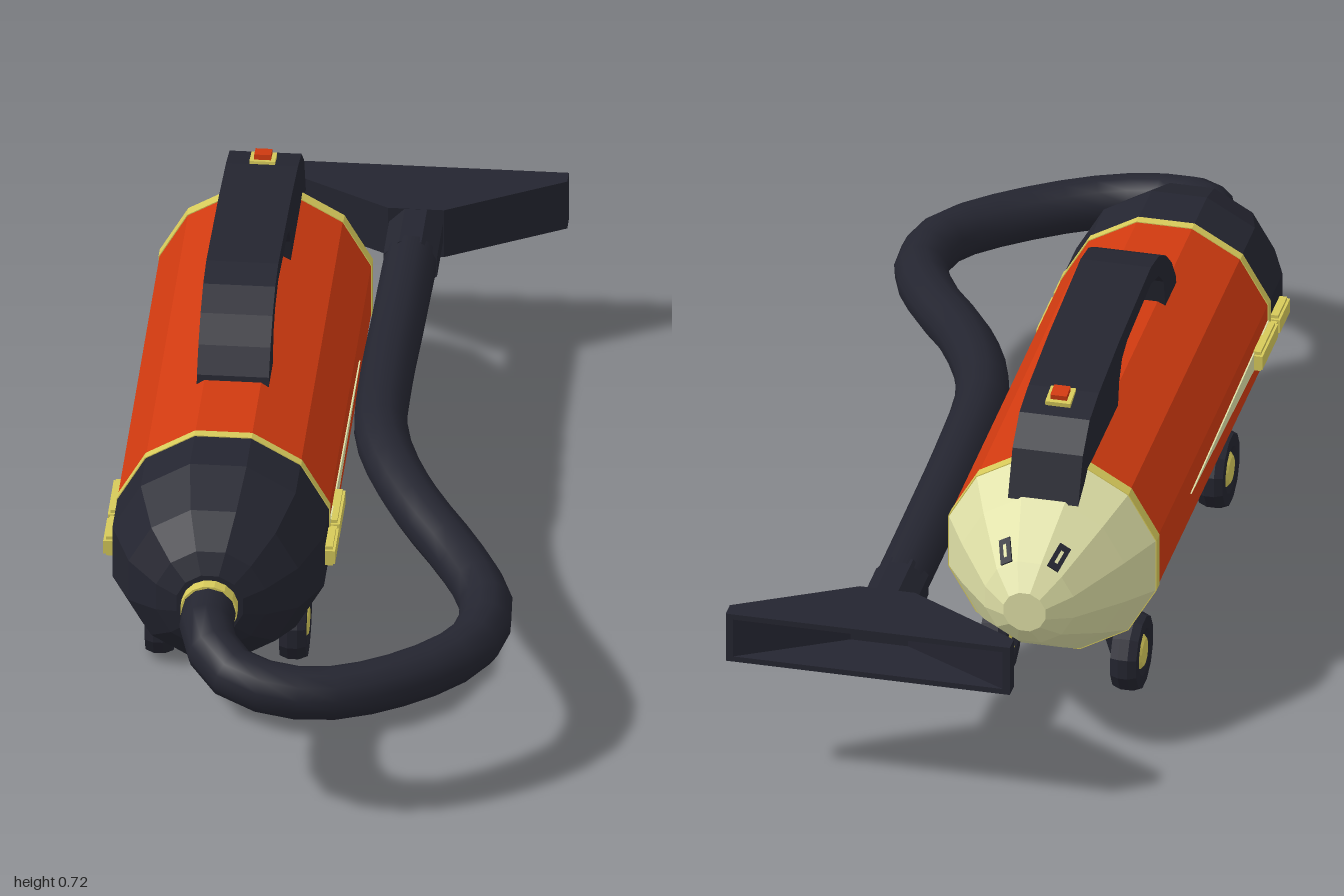
import * as THREE from 'three';

const colour = (name, hex) => {
  const m = new THREE.MeshStandardMaterial({ color: hex });
  m.name = name;
  return m;
};

export function createModel() {
  const dark = colour('charcoal', 0x242530);
  const red = colour('orange red', 0xd03a10);
  const yellow = colour('brass yellow', 0xd6c95a);
  const cream = colour('cream', 0xdedfa6);

  const model = new THREE.Group();
  model.name = 'vacuumCleaner';
  const body = new THREE.Group();
  body.name = 'body';
  body.position.set(-0.185, 0.36, 0);
  model.add(body);

  // Faceted normals for the low-poly parts
  const facet = (g) => {
    const f = g.index ? g.toNonIndexed() : g;
    f.computeVertexNormals();
    return f;
  };
  const add = (parent, name, geometry, material, x = 0, y = 0, z = 0) => {
    const mesh = new THREE.Mesh(geometry, material);
    mesh.name = name;
    mesh.position.set(x, y, z);
    parent.add(mesh);
    return mesh;
  };
  // Lathe along z from [radius, z] pairs, with z increasing
  const turned = (points, sides = 12) => facet(new THREE.LatheGeometry(
    points.map(([r, z]) => new THREE.Vector2(r, z)), sides, Math.PI / sides).rotateX(Math.PI / 2));
  // Side outline of [z, y] pairs, extruded across x
  const sideProfile = (points, width) => facet(new THREE.ExtrudeGeometry(
    new THREE.Shape(points.map(([z, y]) => new THREE.Vector2(z, y))),
    { depth: width, bevelEnabled: false }).translate(0, 0, -width / 2).rotateY(-Math.PI / 2));

  // Twelve-sided shell
  const R = 0.222;
  add(body, 'rearCap', turned([[0, -0.812], [0.045, -0.812], [0.095, -0.77], [0.175, -0.65], [R, -0.57]]), cream);
  add(body, 'rearBand', turned([[R, -0.57], [R + 0.002, -0.57], [R + 0.002, -0.543], [R, -0.543]]), yellow);
  add(body, 'barrel', turned([[R, -0.543], [R, 0.4]]), red);
  add(body, 'frontBand', turned([[R, 0.4], [R + 0.002, 0.4], [R + 0.002, 0.42], [R, 0.42]]), yellow);
  add(body, 'frontCap', turned([[R, 0.42], [R, 0.53], [0.178, 0.64], [0.115, 0.7], [0.07, 0.722], [0, 0.722]]), dark);
  add(body, 'hoseCollar', turned([[0.058, 0.715], [0.058, 0.748], [0, 0.748]], 16), yellow);

  // Latches and tapering side flashes
  for (const s of [-1, 1]) {
    const side = s < 0 ? 'right' : 'left';
    for (const [z, length] of [[0.338, 0.135], [0.466, 0.09]]) {
      add(body, side + 'Latch', facet(new THREE.BoxGeometry(0.026, 0.03, length)), yellow, s * 0.222, -0.002, z);
      add(body, side + 'LatchEdge', facet(new THREE.BoxGeometry(0.018, 0.044, length - 0.012)), yellow, s * 0.221, -0.002, z);
    }
    add(body, side + 'LatchHinge', facet(new THREE.BoxGeometry(0.018, 0.024, 0.04)), yellow, s * 0.221, -0.002, 0.413);
    add(body, side + 'Flash', sideProfile([[0.4, -0.026], [0.4, 0.022], [-0.27, -0.002]], 0.006), cream, s * 0.2145);
  }

  // Air vents on the sloping rear cap
  for (const s of [-1, 1]) {
    const vent = new THREE.Group();
    vent.name = 'vent';
    vent.rotation.z = s * Math.PI / 6;
    body.add(vent);
    const plate = add(vent, 'ventSlot', facet(new THREE.BoxGeometry(0.026, 0.008, 0.058)), dark, 0, 0.109, -0.742);
    plate.rotation.x = -0.572;
    add(plate, 'ventSlat', facet(new THREE.BoxGeometry(0.007, 0.004, 0.03)), cream, 0, 0.003, 0);
  }

  // Carrying handle with grip opening
  add(model, 'handle', sideProfile([
    [0.2, 0.565], [0.195, 0.585], [0.16, 0.635], [0.11, 0.68], [0.05, 0.713], [-0.02, 0.726],
    [-0.3, 0.708], [-0.47, 0.688], [-0.55, 0.67], [-0.61, 0.62], [-0.65, 0.525],
    [-0.57, 0.56], [-0.305, 0.565], [-0.295, 0.615], [-0.27, 0.655], [-0.225, 0.672],
    [-0.02, 0.687], [0.05, 0.666], [0.09, 0.63], [0.105, 0.565],
  ], 0.146), dark, -0.185);

  // Power switch
  const power = new THREE.Group();
  power.name = 'powerSwitch';
  power.position.set(-0.185, 0.684, -0.497);
  power.rotation.x = -0.15;
  model.add(power);
  add(power, 'switchFrame', facet(new THREE.BoxGeometry(0.052, 0.012, 0.052)), yellow);
  add(power, 'switchButton', facet(new THREE.BoxGeometry(0.034, 0.034, 0.034)), red);

  // Wheels and slanted struts
  const tyre = turned([[0.036, -0.02], [0.05, -0.027], [0.076, -0.027], [0.083, -0.01],
    [0.083, 0.01], [0.076, 0.027], [0.05, 0.027], [0.036, 0.02]]).rotateY(Math.PI / 2);
  const hub = turned([[0, -0.028], [0.028, -0.028], [0.04, -0.018], [0.04, 0.018], [0.028, 0.028], [0, 0.028]])
    .rotateY(Math.PI / 2);
  for (const s of [-1, 1]) {
    for (const z of [0.3, -0.45]) {
      const wheel = new THREE.Group();
      wheel.name = 'wheel';
      wheel.position.set(-0.185 + s * 0.136, 0.083, z);
      model.add(wheel);
      add(wheel, 'tyre', tyre, dark);
      add(wheel, 'hub', hub, yellow);
      const strut = add(wheel, 'strut', facet(new THREE.BoxGeometry(0.014, 0.115, 0.035)), dark, -s * 0.047, 0.044, 0);
      strut.rotation.z = s * 0.3;
    }
  }

  // Flexible hose looping from the front to the floor tool
  const path = new THREE.CatmullRomCurve3([
    [-0.185, 0.36, 0.73], [-0.178, 0.35, 0.84], [-0.115, 0.32, 0.925], [0.03, 0.295, 0.945],
    [0.21, 0.287, 0.86], [0.345, 0.292, 0.72], [0.363, 0.3, 0.58], [0.305, 0.313, 0.44],
    [0.2, 0.337, 0.27], [0.13, 0.352, 0.12], [0.098, 0.357, 0], [0.09, 0.352, -0.2],
    [0.092, 0.341, -0.45], [0.095, 0.333, -0.72],
  ].map((p) => new THREE.Vector3(...p)));
  add(model, 'hose', new THREE.TubeGeometry(path, 32, 0.055, 12), dark);

  // Rigid pipe into the floor tool
  add(model, 'pipe', turned([[0, -0.86], [0.059, -0.86], [0.059, -0.7], [0, -0.7]], 8), dark, 0.095, 0.33, 0);

  // Flared floor tool: rectangular sections [z, half width, half height], turning inward at the mouth
  const sections = [[-0.83, 0, 0], [-0.83, 0.057, 0.055], [-0.965, 0.295, 0.055], [-1, 0.295, 0.055],
    [-1, 0.28, 0.043], [-0.9, 0.06, 0.03]];
  const positions = [];
  const index = [];
  sections.forEach(([z, w, h], k) => {
    positions.push(-w, -h, z, w, -h, z, w, h, z, -w, h, z);
    for (let i = 0; k > 0 && i < 4; i++) {
      const j = (i + 1) % 4, a = (k - 1) * 4, b = k * 4;
      index.push(a + i, b + i, a + j, a + j, b + i, b + j);
    }
  });
  const last = (sections.length - 1) * 4;
  index.push(last, last + 2, last + 1, last, last + 3, last + 2);
  const tool = new THREE.BufferGeometry();
  tool.setAttribute('position', new THREE.Float32BufferAttribute(positions, 3));
  tool.setIndex(index);
  add(model, 'floorTool', facet(tool), dark, 0.095, 0.33, 0);

  return model;
}
